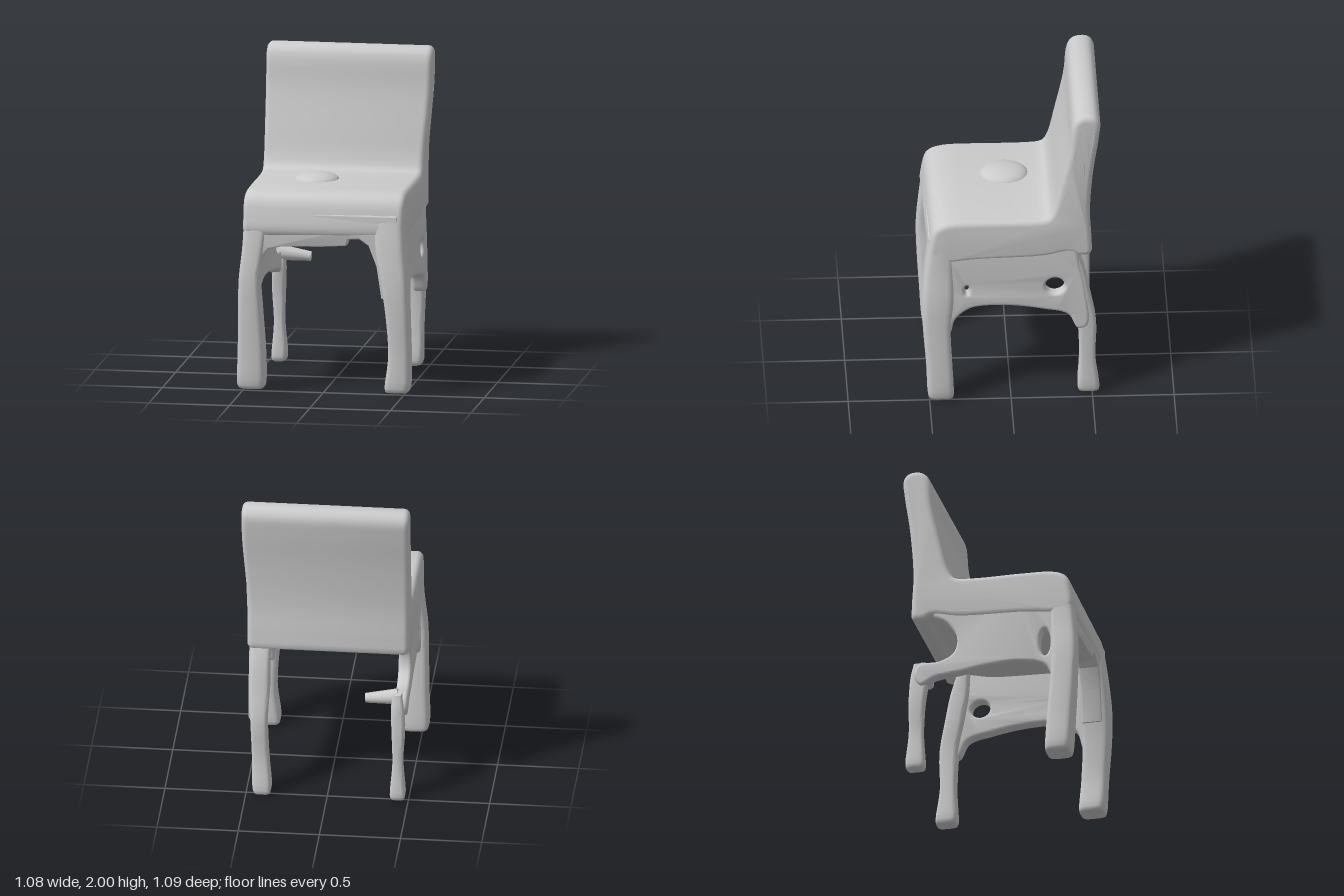
import * as THREE from 'three';
import { toCreasedNormals } from 'three/addons/utils/BufferGeometryUtils.js';

const material = new THREE.MeshStandardMaterial({ color: 0xcccccc, side: THREE.DoubleSide });

function addMesh(group, name, geometry) {
  const mesh = new THREE.Mesh(geometry, material);
  mesh.name = name;
  group.add(mesh);
  return mesh;
}

// Smooth closed outline through a few points
function smoothPoints(points, samples = 90) {
  const curve = new THREE.CatmullRomCurve3(points.map(([a, b]) => new THREE.Vector3(a, b, 0)), true, 'centripetal');
  return curve.getPoints(samples).slice(0, -1).map((p) => new THREE.Vector2(p.x, p.y));
}

// Bevelled slab between two depths
function slab(shape, from, to, bevel) {
  const geometry = new THREE.ExtrudeGeometry(shape, {
    depth: to - from - 2 * bevel, bevelThickness: bevel, bevelSize: bevel, bevelOffset: -bevel, bevelSegments: 4,
  });
  return geometry.translate(0, 0, from + bevel);
}

// Slab whose outline is given as [z, y], running along x
function sideSlab(points, x0, x1, bevel, holes = []) {
  const shape = new THREE.Shape(smoothPoints(points.map(([z, y]) => [-z, y])));
  for (const [z, y, rz, ry] of holes) {
    const hole = new THREE.Path();
    hole.absellipse(-z, y, rz, ry, 0, Math.PI * 2, true);
    shape.holes.push(hole);
  }
  return slab(shape, x0, x1, bevel).rotateY(Math.PI / 2);
}

// Soft square column through sections [y, x0, x1, z0, z1], rising
function column(sections, sides = 24) {
  const positions = [];
  const indices = [];
  const round = (v) => Math.sign(v) * Math.pow(Math.abs(v), 0.45);
  const spine = sections.length;
  const rows = [];
  for (let k = 0; k < 5; k++) {
    const at = new THREE.CatmullRomCurve3(sections.map((s, i) => new THREE.Vector3(s[k], i, 0)));
    rows.push(at.getPoints((spine - 1) * 4).map((p) => p.x));
  }
  const count = rows[0].length;
  for (let i = 0; i < count; i++) {
    const [y, x0, x1, z0, z1] = rows.map((r) => r[i]);
    for (let j = 0; j < sides; j++) {
      const a = (j / sides) * Math.PI * 2;
      positions.push((x0 + x1) / 2 + (x1 - x0) / 2 * round(Math.cos(a)), y, (z0 + z1) / 2 + (z1 - z0) / 2 * round(Math.sin(a)));
      if (i < count - 1) {
        const n = i * sides + j, m = i * sides + (j + 1) % sides;
        indices.push(n, n + sides, m, m, n + sides, m + sides);
      }
    }
  }
  // End caps
  const top = (count - 1) * sides;
  for (let j = 1; j < sides - 1; j++) indices.push(0, j, j + 1, top, top + j + 1, top + j);
  const geometry = new THREE.BufferGeometry();
  geometry.setAttribute('position', new THREE.Float32BufferAttribute(positions, 3));
  geometry.setIndex(indices);
  return toCreasedNormals(geometry, 0.9);
}

export function createModel() {
  const chair = new THREE.Group();
  chair.name = 'chair';

  // Seat and backrest share one side profile
  const body = sideSlab([
    [-0.49, 1.01], [-0.495, 1.1], [-0.485, 1.3], [-0.505, 1.6], [-0.54, 1.85], [-0.545, 1.95], [-0.51, 1.995],
    [-0.43, 1.995], [-0.385, 1.95], [-0.36, 1.75], [-0.305, 1.5], [-0.26, 1.32], [-0.225, 1.265], [-0.1, 1.25],
    [0.2, 1.25], [0.4, 1.24], [0.475, 1.2], [0.505, 1.1], [0.51, 1.0], [0.47, 0.96], [0.2, 0.975],
    [-0.2, 0.99], [-0.36, 1.02], [-0.42, 0.995],
  ], -0.5, 0.495, 0.035);
  const pos = body.attributes.position;
  for (let i = 0; i < pos.count; i++) {
    const x = pos.getX(i), y = pos.getY(i), z = pos.getZ(i);
    const rise = THREE.MathUtils.smoothstep(y, 1.25, 1.85);
    pos.setX(i, x + (x > 0 ? 0.032 : -0.004) * rise);
    if (z > 0.4) pos.setZ(i, z - 0.015 * x);
  }
  addMesh(chair, 'seatAndBackrest', toCreasedNormals(body, 0.6));

  // Low swelling on the seat
  const bump = addMesh(chair, 'seatBump', new THREE.SphereGeometry(1, 24, 12));
  bump.scale.set(0.14, 0.05, 0.15);
  bump.position.set(-0.12, 1.24, 0.02);

  // Front apron with its uneven lower edge
  const apron = new THREE.Shape([
    [-0.46, 1.12], [-0.46, 0.65], [-0.4, 0.65], [-0.39, 0.78], [-0.375, 0.85], [-0.34, 0.89], [-0.27, 0.907],
    [0, 0.915], [0.14, 0.925], [0.15, 0.965], [0.22, 0.97], [0.28, 0.93], [0.33, 0.8], [0.36, 0.6],
    [0.46, 0.6], [0.46, 1.12],
  ].map(([x, y]) => new THREE.Vector2(x, y)));
  addMesh(chair, 'frontApron', toCreasedNormals(slab(apron, 0.38, 0.505, 0.012), 0.6));

  // Legs
  addMesh(chair, 'frontLeftLeg', column([
    [0.01, 0.4, 0.49, 0.37, 0.48], [0.04, 0.375, 0.53, 0.35, 0.51], [0.25, 0.4, 0.535, 0.36, 0.52], [0.5, 0.385, 0.53, 0.37, 0.54],
    [0.7, 0.355, 0.525, 0.35, 0.545], [0.9, 0.32, 0.505, 0.35, 0.53], [1.12, 0.3, 0.49, 0.35, 0.5],
  ]));
  addMesh(chair, 'frontRightLeg', column([
    [0.01, -0.5, -0.4, 0.37, 0.48], [0.04, -0.54, -0.37, 0.35, 0.51], [0.25, -0.535, -0.37, 0.36, 0.525], [0.5, -0.53, -0.385, 0.38, 0.54],
    [0.7, -0.525, -0.395, 0.39, 0.545], [0.9, -0.505, -0.37, 0.38, 0.53], [1.12, -0.495, -0.34, 0.37, 0.505],
  ]));
  addMesh(chair, 'backLeftLeg', column([
    [0.005, 0.37, 0.43, -0.52, -0.44], [0.04, 0.345, 0.46, -0.545, -0.41], [0.25, 0.36, 0.465, -0.52, -0.42], [0.5, 0.37, 0.475, -0.525, -0.41],
    [0.7, 0.36, 0.485, -0.49, -0.37], [0.88, 0.36, 0.485, -0.455, -0.34], [1.05, 0.36, 0.48, -0.4, -0.33],
  ]));
  addMesh(chair, 'backRightLeg', column([
    [0.005, -0.46, -0.41, -0.51, -0.44], [0.04, -0.48, -0.385, -0.54, -0.42], [0.25, -0.465, -0.4, -0.52, -0.43], [0.45, -0.475, -0.395, -0.52, -0.42],
    [0.62, -0.47, -0.39, -0.51, -0.4], [0.72, -0.455, -0.4, -0.49, -0.42],
  ]));

  // Side panels: one pierced near the back leg, the other open behind
  addMesh(chair, 'leftSidePanel', toCreasedNormals(sideSlab([
    [0.45, 1.1], [0.45, 0.52], [0.38, 0.45], [0.34, 0.56], [0.26, 0.63], [0.18, 0.65], [0, 0.65], [-0.2, 0.62],
    [-0.35, 0.58], [-0.41, 0.48], [-0.47, 0.5], [-0.46, 0.75], [-0.43, 0.9], [-0.36, 1.1],
  ], 0.405, 0.49, 0.02, [[-0.27, 0.785, 0.06, 0.055], [0.27, 0.765, 0.015, 0.03]]), 0.6));
  addMesh(chair, 'rightSidePanel', toCreasedNormals(sideSlab([
    [0.45, 1.1], [0.45, 0.55], [0.4, 0.53], [0.35, 0.61], [0.24, 0.65], [0, 0.65], [-0.2, 0.62], [-0.35, 0.6],
    [-0.44, 0.56], [-0.48, 0.63], [-0.45, 0.7], [-0.32, 0.71], [-0.23, 0.76], [-0.21, 0.86], [-0.27, 0.96], [-0.36, 1.02], [-0.34, 1.1],
  ], -0.49, -0.41, 0.02, [[0.345, 0.77, 0.035, 0.09]]), 0.6));

  // Broken crossbar stub on the thin back leg
  const stub = addMesh(chair, 'crossbarStub', new THREE.CylinderGeometry(0.03, 0.05, 0.2, 12));
  stub.rotation.z = -Math.PI / 2 - 0.1;
  stub.position.set(-0.33, 0.68, -0.44);

  return chair;
}
